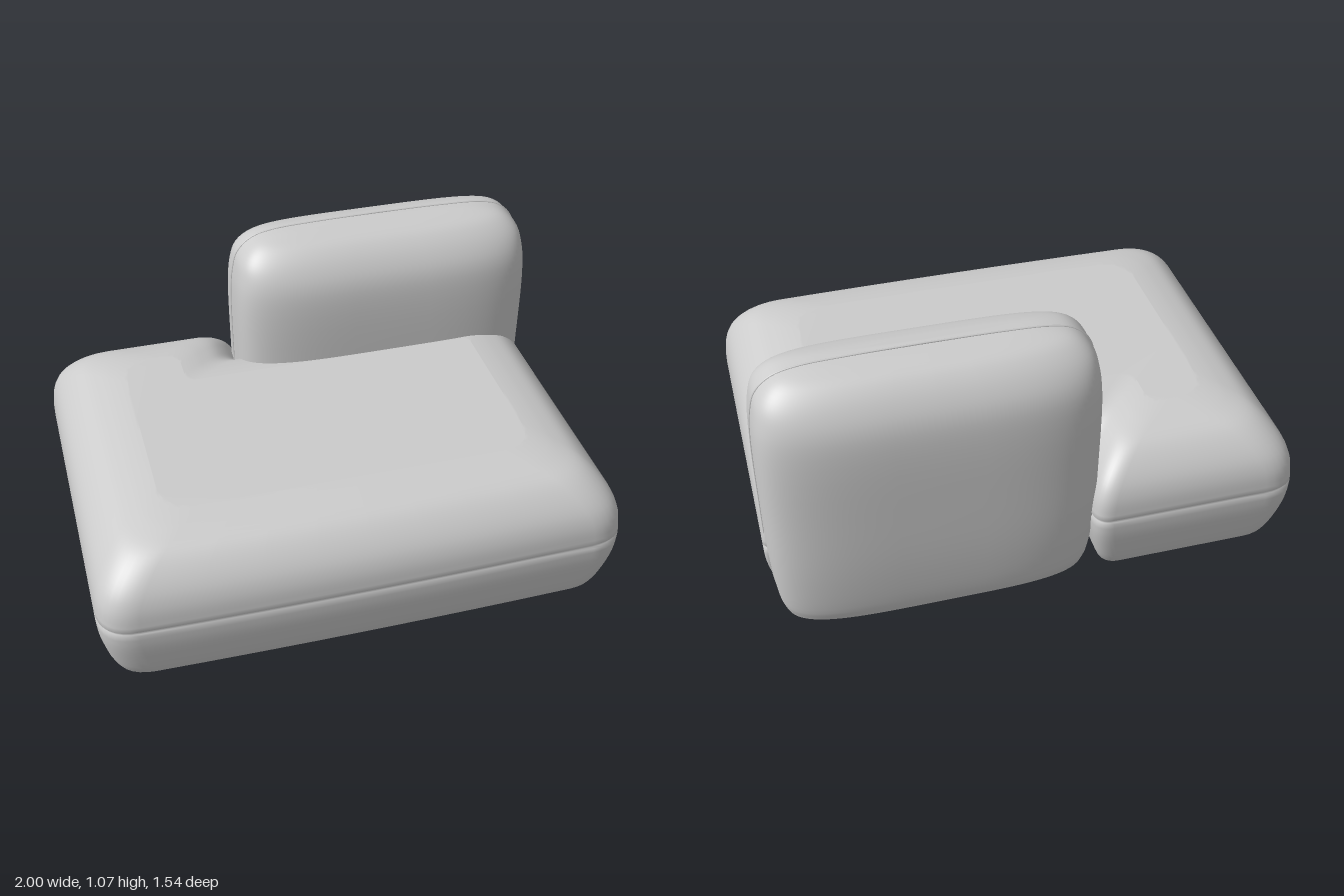
import * as THREE from 'three';

const material = new THREE.MeshStandardMaterial({ color: 0xcccccc });

// Smooth skin over stacked rings (counter-clockwise from above), with a sharp flat base
function loft(name, rings) {
  const n = rings[0].length;
  const pos = rings.flat().flatMap(p => [p.x, p.y, p.z]);
  const index = [];
  for (let i = 0; i < rings.length - 1; i++) {
    for (let j = 0; j < n; j++) {
      const a = i * n + j, b = i * n + (j + 1) % n;
      index.push(a, b, a + n, b, b + n, a + n);
    }
  }
  const cap = ring => THREE.ShapeUtils.triangulateShape(ring.map(p => new THREE.Vector2(p.x, -p.z)), []);
  const top = (rings.length - 1) * n, base = rings.length * n;
  for (const [a, b, c] of cap(rings[rings.length - 1])) index.push(top + a, top + b, top + c);
  for (const p of rings[0]) pos.push(p.x, p.y, p.z);
  for (const [a, b, c] of cap(rings[0])) index.push(base + a, base + c, base + b);
  const geo = new THREE.BufferGeometry();
  geo.setAttribute('position', new THREE.Float32BufferAttribute(pos, 3));
  geo.setIndex(index);
  geo.computeVertexNormals();
  const mesh = new THREE.Mesh(geo, material);
  mesh.name = name;
  return mesh;
}

const smooth = (pts, n) => new THREE.CatmullRomCurve3(pts.map(p => new THREE.Vector3(...p))).getPoints(n);

// L-shaped seat outline: x, depth towards the back, inward direction, corner radius
const corners = [
  [-1, -0.755, 1, 1, 0.14], [1, -0.755, -1, 1, 0.14], [1, 0.56, -1, -1, 0.03],
  [-0.19, 0.56, -1, -1, 0.05], [-0.19, 0.755, -1, -1, 0.07], [-1, 0.755, 1, -1, 0.14],
];

function seatRing(inset, y) {
  const pts = corners.map(([x, w, sx, sw]) => new THREE.Vector2(x + sx * inset, w + sw * inset));
  const ring = [];
  const add = p => {
    // The front edge bows out slightly
    const w = p.y < 0 ? p.y * (1 + 0.02 * (1 - p.x * p.x)) : p.y;
    ring.push(new THREE.Vector3(p.x, y, -w));
  };
  const towards = (a, b, r) => a.clone().add(b.clone().sub(a).setLength(r));
  pts.forEach((p, i) => {
    const k = (i + 1) % pts.length;
    const prev = pts[(i + pts.length - 1) % pts.length], next = pts[k];
    const start = towards(p, prev, corners[i][4]), end = towards(p, next, corners[i][4]);
    new THREE.QuadraticBezierCurve(start, p, end).getPoints(8).forEach(add);
    const nextStart = towards(next, p, corners[k][4]);
    for (let s = 1; s < 8; s++) add(end.clone().lerp(nextStart, s / 8));
  });
  return ring;
}

// Backrest cross-section: a squared-off oval
const back = { x: 0.38, z: -0.525, halfX: 0.612, halfZ: 0.247 };
function backRing(insetX, insetZ, y) {
  const ring = [];
  for (let i = 0; i < 96; i++) {
    const t = i / 96 * Math.PI * 2, c = Math.cos(t), s = Math.sin(t);
    ring.push(new THREE.Vector3(
      back.x + (back.halfX - insetX) * Math.sign(c) * Math.sqrt(Math.abs(c)), y,
      back.z - (back.halfZ - insetZ) * Math.sign(s) * Math.sqrt(Math.abs(s))));
  }
  return ring;
}

export function createModel() {
  const group = new THREE.Group();

  // Seat: side wall, narrow seam groove, then a pillowed top (inset, height)
  const seatWall = [[0.05, 0.02, 0], [0.035, 0.06, 0], [0.015, 0.14, 0], [0.003, 0.21, 0], [0, 0.265, 0]];
  const seatTop = [[0, 0.285, 0], [0.008, 0.36, 0], [0.03, 0.42, 0], [0.075, 0.48, 0],
    [0.13, 0.525, 0], [0.2, 0.551, 0], [0.25, 0.563, 0], [0.29, 0.57, 0]];
  const seatProfile = [...smooth(seatWall, 10), { x: 0.006, y: 0.269 }, { x: 0.006, y: 0.281 }, ...smooth(seatTop, 28)];
  group.add(loft('seat', seatProfile.map(p => seatRing(p.x, p.y))));

  // Backrest: inset across, inset in depth, height
  const backProfile = smooth([
    [0.04, 0.04, 0.02], [0.025, 0.025, 0.07], [0.006, 0.006, 0.25], [0, 0, 0.5], [0, 0.004, 0.8],
    [0.01, 0.022, 0.9], [0.03, 0.06, 0.97], [0.085, 0.115, 1.025], [0.17, 0.175, 1.05],
    [0.35, 0.225, 1.06], [0.6, 0.242, 1.063],
  ].map(([x, z, y]) => [x, y, z]), 44);
  group.add(loft('backrest', backProfile.map(p => backRing(p.x, p.z, p.y))));

  // Thin seam running up one end of the backrest, over the top and down the other
  const side = s => backProfile.map(p => new THREE.Vector3(back.x + s * (back.halfX - p.x), p.y, -0.54));
  const path = [new THREE.Vector3(0.95, 0, -0.54), ...side(1), ...side(-1).reverse()];
  const seam = new THREE.Mesh(new THREE.TubeGeometry(new THREE.CatmullRomCurve3(path), 160, 0.004, 6), material);
  seam.name = 'backrestSeam';
  group.add(seam);

  return group;
}
